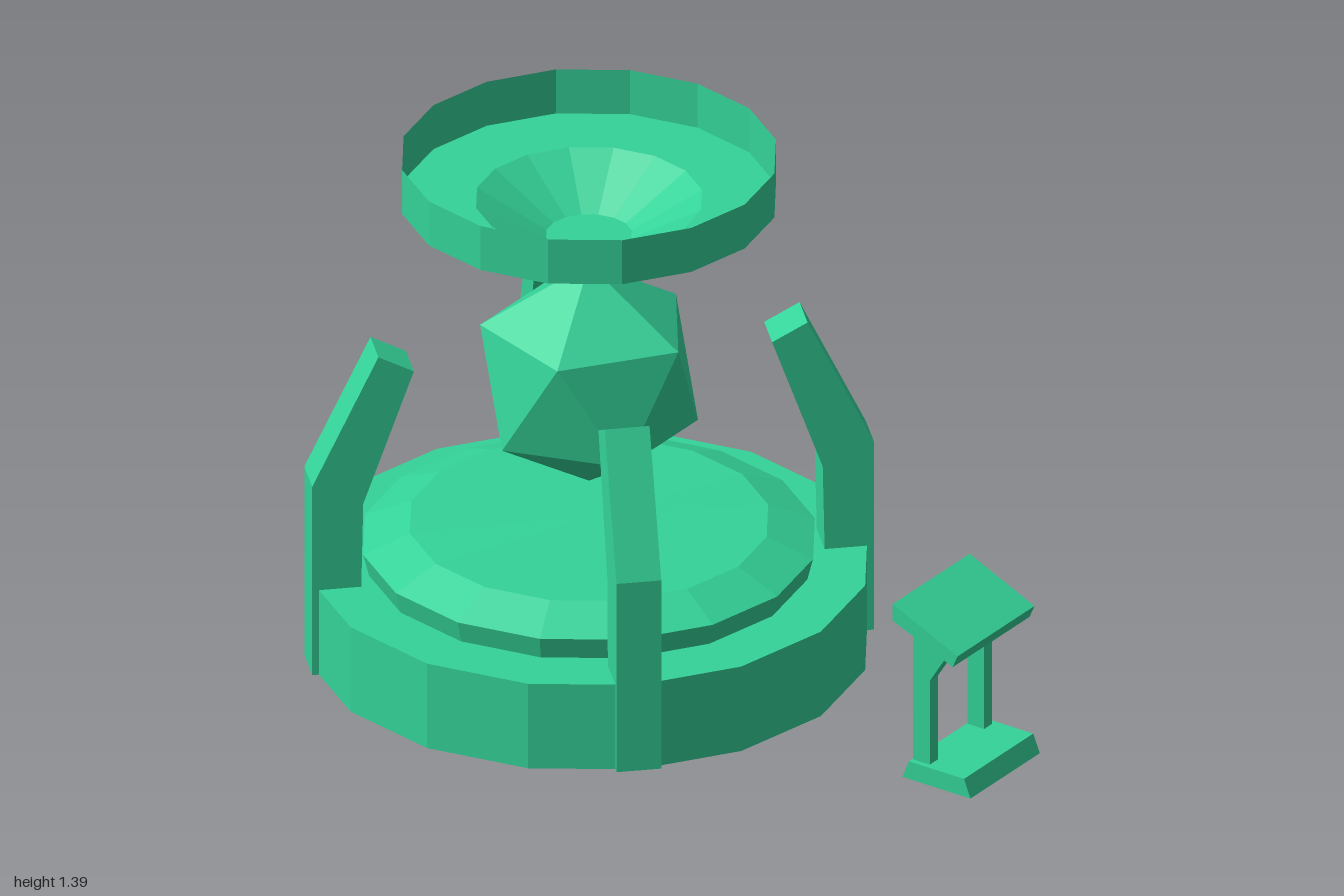
import * as THREE from 'three';

const material = new THREE.MeshStandardMaterial({ color: 0x34d399, flatShading: true, side: THREE.DoubleSide });
const SIDES = 16;

function add(parent, name, geometry) {
  const mesh = new THREE.Mesh(geometry, material);
  mesh.name = name;
  parent.add(mesh);
  return mesh;
}

// Faceted surface of revolution from [radius, height] pairs
function turned(points) {
  return new THREE.LatheGeometry(points.map(([r, y]) => new THREE.Vector2(r, y)), SIDES);
}

// Side profile extruded to a width, centred on z = 0
function slab(points, width) {
  const shape = new THREE.Shape(points.map(([x, y]) => new THREE.Vector2(x, y)));
  const geometry = new THREE.ExtrudeGeometry(shape, { depth: width, bevelEnabled: false });
  return geometry.translate(0, 0, -width / 2);
}

export function createModel() {
  const model = new THREE.Group();
  model.name = 'crystalStation';

  const machine = new THREE.Group();
  machine.name = 'machine';
  machine.position.x = -0.285;
  model.add(machine);

  // Hollow round base, open underneath
  add(machine, 'base', turned([[0.715, 0.005], [0.715, 0.245], [0.565, 0.245]]));
  add(machine, 'platform', turned([[0.565, 0.245], [0.58, 0.305], [0.46, 0.355], [0, 0.36]]));

  // Four bent arms leaning in over the platform
  const armProfile = [[0.6, 0.005], [0.721, 0.005], [0.721, 0.54], [0.551, 0.893], [0.46, 0.845], [0.59, 0.48]];
  for (let i = 0; i < 4; i++) {
    add(machine, 'arm', slab(armProfile, 0.115)).rotation.y = Math.PI / 4 + i * Math.PI / 2;
  }

  // Floating crystal standing on a point
  const crystal = new THREE.IcosahedronGeometry(0.308, 0);
  crystal.rotateX(-Math.atan((1 + Math.sqrt(5)) / 2)).rotateY(Math.PI / 2);
  add(machine, 'crystal', crystal).position.y = 0.772;

  // Thin open dish hovering above
  add(machine, 'dish', turned([[0, 1.165], [0.11, 1.165], [0.29, 1.265], [0.48, 1.265], [0.48, 1.39]]));

  const lectern = new THREE.Group();
  lectern.name = 'lectern';
  model.add(lectern);

  // Tapered foot with its underside left open
  const foot = new THREE.BoxGeometry(0.21, 0.05, 0.306);
  const pos = foot.attributes.position;
  for (let i = 0; i < pos.count; i++) {
    if (pos.getY(i) > 0) pos.setX(i, pos.getX(i) * 0.81);
  }
  const index = Array.from(foot.index.array);
  index.splice(18, 6);
  foot.setIndex(index);
  foot.clearGroups();
  add(lectern, 'lecternFoot', foot).position.set(0.893, 0.027, 0);

  // Pair of posts flaring towards the desk
  const postProfile = [[0.81, 0.005], [0.862, 0.005], [0.862, 0.29], [0.915, 0.375], [0.915, 0.4], [0.81, 0.44]];
  for (const side of [-1, 1]) {
    add(lectern, 'lecternPost', slab(postProfile, 0.035)).position.z = side * 0.12;
  }

  // Sloping desk
  add(lectern, 'lecternDesk', slab([[0.77, 0.41], [0.955, 0.37], [0.97, 0.405], [0.77, 0.495]]
    .map(([x, y], i) => [x, i === 0 ? 0.448 : y]), 0.34));

  return model;
}
